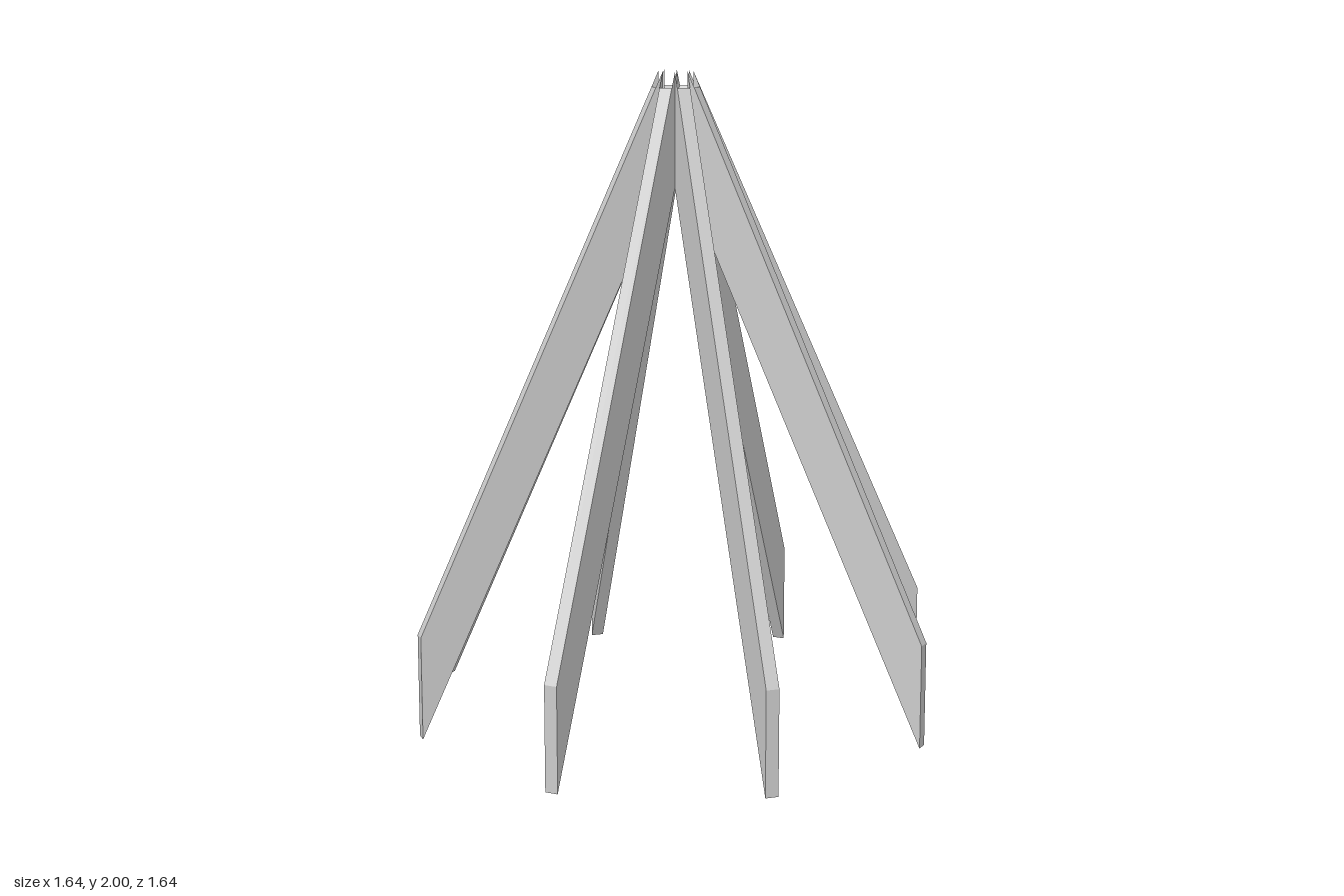
import * as THREE from 'three';

const HALF = 0.02;                                  // half thickness of a plank
const MITRE = HALF / Math.tan(Math.PI / 8);         // where neighbouring planks meet
const R = 0.82, FOOT = 0.325, RIM = 0.07;           // foot radius, foot height, rim radius
const SLOPE = (2 - FOOT) / (R - MITRE);
const outer = r => FOOT + (R - r) * SLOPE;          // upper edge of the plank
const inner = r => 0.005 + (R - r) * SLOPE * 0.985; // lower edge of the plank
const hollow = r => 1.86 + (outer(RIM) - 1.86) * r / RIM; // funnel between the tops

// One leaning plank along +x, made of flat convex faces
function plankGeometry() {
  const pos = [];
  const face = pts => {
    for (let i = 1; i < pts.length - 1; i++) pos.push(...pts[0], ...pts[i], ...pts[i + 1]);
  };
  const side = z => [
    [R, inner(R), z], [R, FOOT, z], [RIM, outer(RIM), z], [MITRE, 2, z], [MITRE, inner(MITRE), z],
  ];
  const a = side(HALF), b = side(-HALF);
  face(a);                                          // sides, with raised tips at the mitre
  face([...b].reverse());
  face([a[0], b[0], b[1], a[1]]);                   // upright foot end
  face([a[1], b[1], b[2], a[2]]);                   // outer edge
  face([a[0], a[4], [0, inner(0), 0], b[4], b[0]]); // underside, pointed at the centre
  const y = hollow(MITRE);
  face([a[2], b[2], [MITRE, y, -HALF], [0, hollow(0), 0], [MITRE, y, HALF]]); // funnel facet
  const geo = new THREE.BufferGeometry();
  geo.setAttribute('position', new THREE.Float32BufferAttribute(pos, 3));
  geo.computeVertexNormals();
  return geo;
}

export function createModel() {
  const model = new THREE.Group();
  model.name = 'plankTepee';
  const material = new THREE.MeshStandardMaterial({
    color: 0xcccccc, flatShading: true, side: THREE.DoubleSide,
  });
  const geometry = plankGeometry();

  // Eight planks around the vertical axis
  for (let i = 0; i < 8; i++) {
    const plank = new THREE.Mesh(geometry, material);
    plank.name = `plank${i + 1}`;
    plank.rotation.y = i * Math.PI / 4;
    model.add(plank);
  }
  return model;
}
